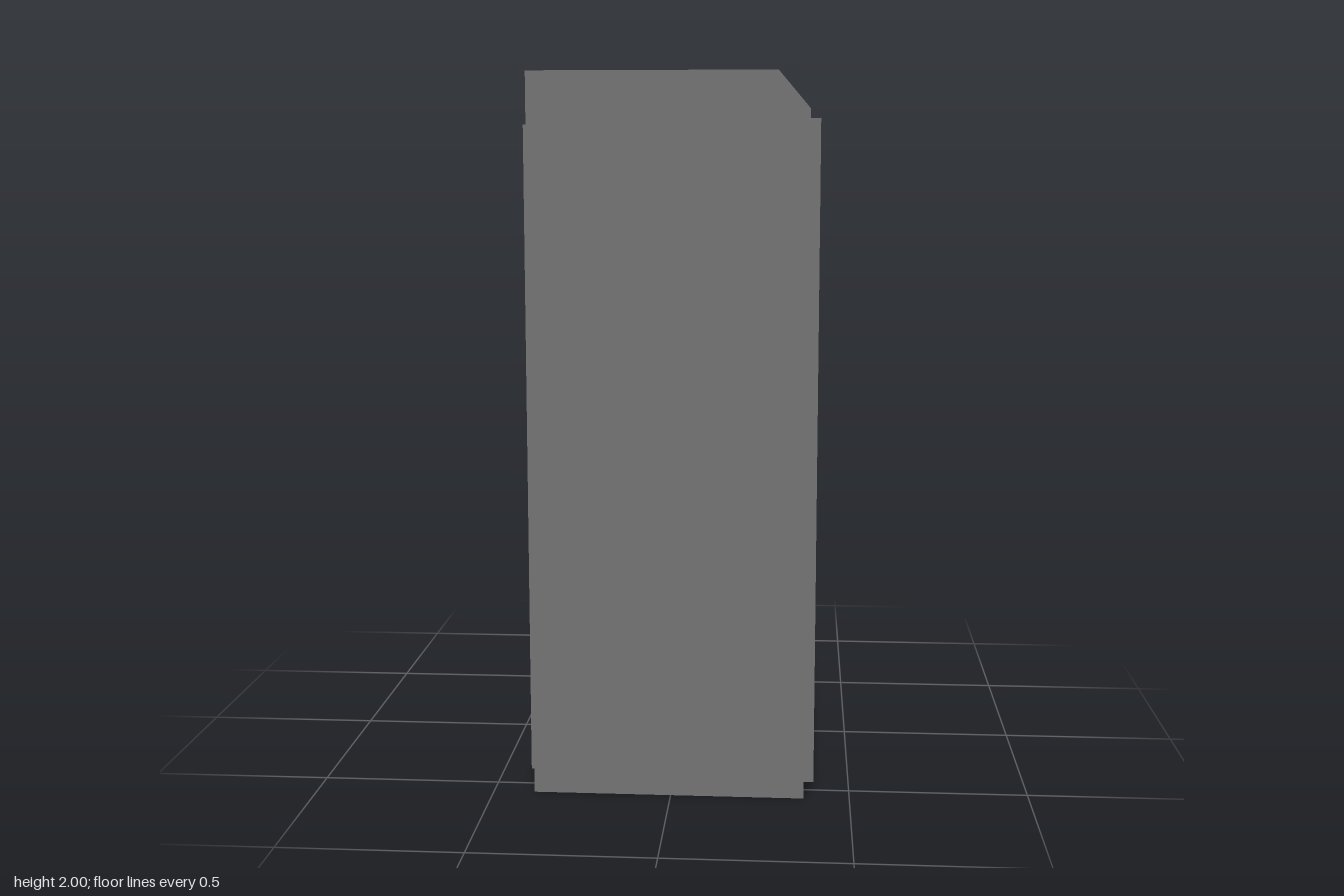
import * as THREE from 'three';

// Skin through rectangular rings [h, x0, x1, halfZ] stacked along y
function loft(rings, capped) {
  const corners = rings.map(([h, x0, x1, z]) => [
    [x0, h, z], [x1, h, z], [x1, h, -z], [x0, h, -z],
  ]);
  const pos = [];
  const quad = (a, b, c, d) => pos.push(...a, ...b, ...c, ...a, ...c, ...d);
  for (let r = 0; r < corners.length - 1; r++) {
    const lo = corners[r], hi = corners[r + 1];
    for (let i = 0; i < 4; i++) {
      const j = (i + 1) % 4;
      quad(lo[i], lo[j], hi[j], hi[i]);
    }
  }
  if (capped) {
    quad(...corners[corners.length - 1]);
    quad(...[...corners[0]].reverse());
  }
  const geo = new THREE.BufferGeometry();
  geo.setAttribute('position', new THREE.Float32BufferAttribute(pos, 3));
  geo.computeVertexNormals();
  return geo;
}

export function createModel() {
  const model = new THREE.Group();
  const dark = new THREE.MeshStandardMaterial({ color: 0x737373 });
  const light = new THREE.MeshStandardMaterial({ color: 0xcccccc });

  const add = (parent, name, geo, mat) => {
    const mesh = new THREE.Mesh(geo, mat);
    mesh.name = name;
    parent.add(mesh);
    return mesh;
  };

  // Cabinet: chamfered upper edge on +x and a shallow recess in the top
  add(model, 'cabinet', loft([
    [0, -0.385, 0.372, 0.567],
    [1.9, -0.385, 0.372, 0.567],
    [2, -0.385, 0.287, 0.567],
    [2, -0.317, 0.22, 0.455],
    [1.985, -0.317, 0.22, 0.455],
  ], true), dark);

  // Raised frame with a sunken light panel on each broad side
  const sides = [
    { name: 'left', dir: 1, base: 0.37, out: 0.4, sunk: 0.38,
      frame: [0.035, 1.875, 0.53], panel: [0.09, 1.82, 0.495] },
    { name: 'right', dir: -1, base: 0.383, out: 0.4, sunk: 0.388,
      frame: [0.05, 1.86, 0.52], panel: [0.1, 1.8, 0.487] },
  ];
  for (const { name, dir, base, out, sunk, frame, panel } of sides) {
    const group = new THREE.Group();
    group.name = name + 'Side';
    group.rotation.z = -dir * Math.PI / 2; // local y points outward
    model.add(group);
    const ring = (h, [y0, y1, z]) =>
      dir > 0 ? [h, -y1, -y0, z] : [h, y0, y1, z];
    add(group, name + 'Frame', loft([
      ring(base, frame), ring(out, frame), ring(out, panel), ring(sunk, panel),
    ], false), dark);
    add(group, name + 'Panel', loft([ring(base, panel), ring(sunk, panel)], true), light);
  }
  return model;
}
